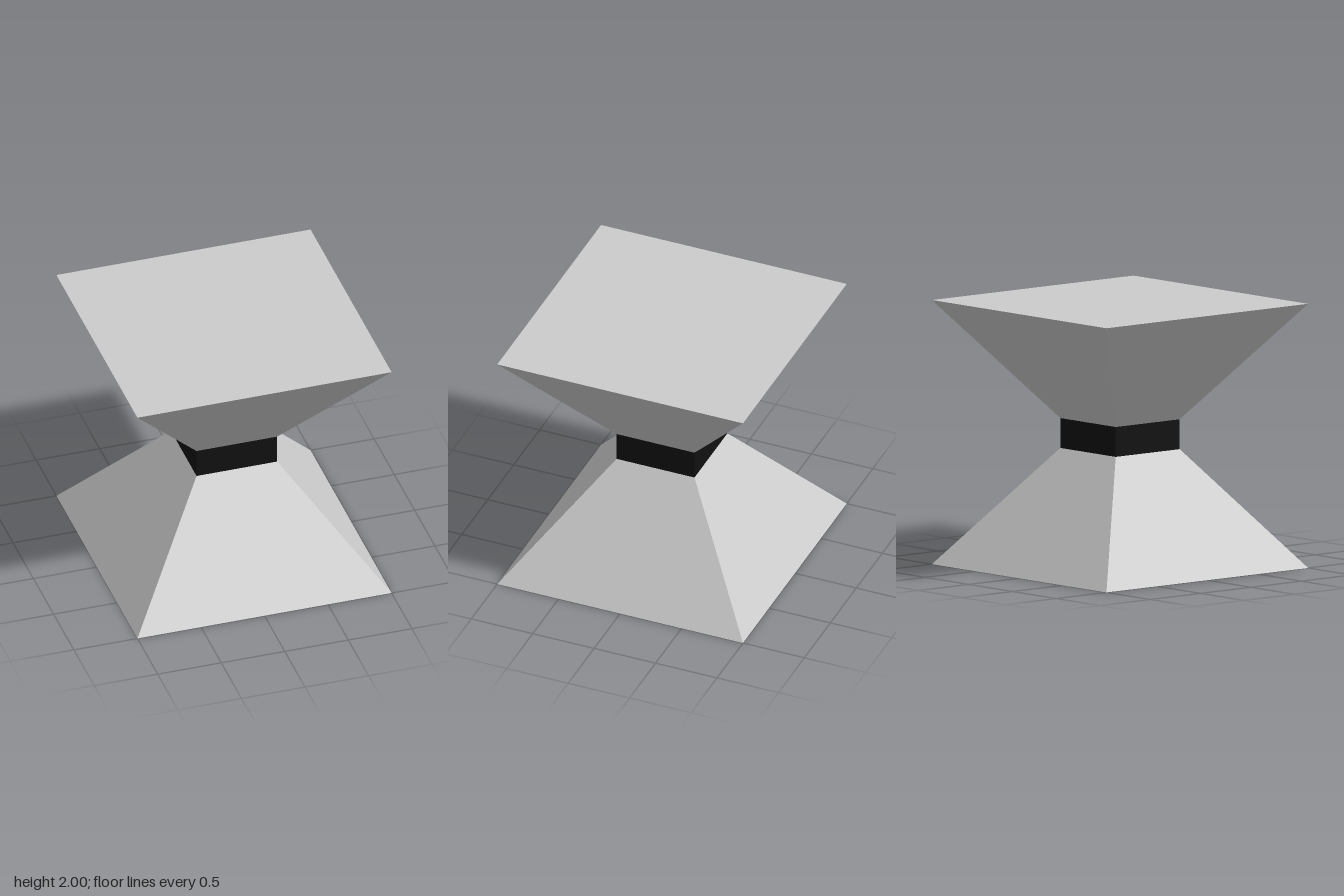
import * as THREE from 'three';

const BASE = 1;      // half width of the outer ends
const NECK = 0.317;  // half width of the waist
const LOW = 0.89;    // waist bottom
const HIGH = 1.116;  // waist top
const TOP = 2;

// Square frustum between two heights, sides facing the axes
function frustum(name, bottomHalf, topHalf, y0, y1, color) {
  const geometry = new THREE.CylinderGeometry(
    topHalf * Math.SQRT2, bottomHalf * Math.SQRT2, y1 - y0, 4);
  geometry.rotateY(Math.PI / 4);
  const material = new THREE.MeshStandardMaterial({ color, flatShading: true });
  const mesh = new THREE.Mesh(geometry, material);
  mesh.name = name;
  mesh.position.y = (y0 + y1) / 2;
  return mesh;
}

export function createModel() {
  const model = new THREE.Group();
  model.name = 'hourglassTable';
  model.add(
    frustum('base', BASE, NECK, 0, LOW, 0xcccccc),
    frustum('waistBand', NECK, NECK, LOW, HIGH, 0x111111),
    frustum('top', NECK, BASE, HIGH, TOP, 0xcccccc),
  );
  return model;
}
